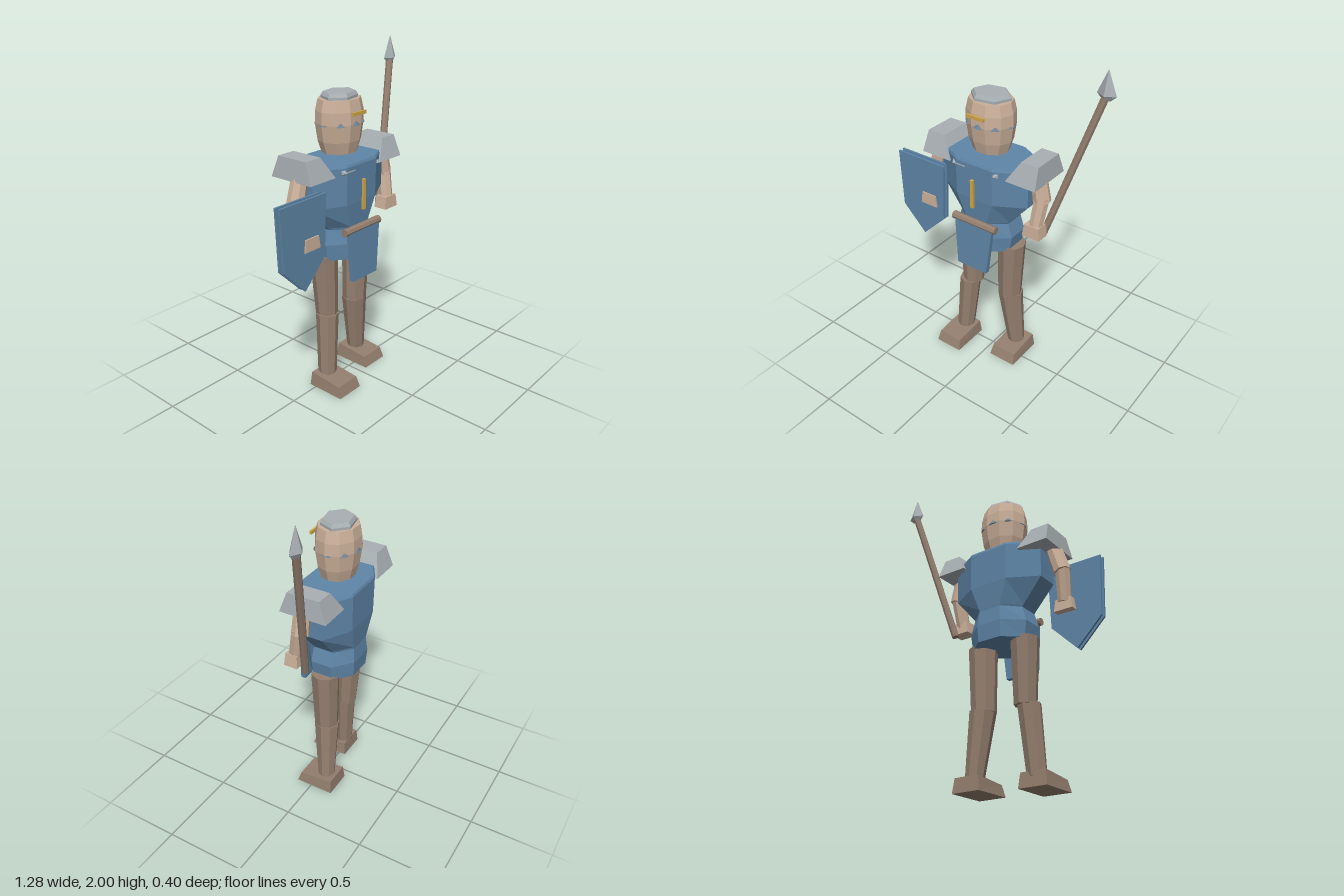
import * as THREE from 'three';

const paint = (name, color) => Object.assign(new THREE.MeshStandardMaterial({ color }), { name });

export function createModel() {
  const blue = paint('blue cloth', 0x5f86a8);
  const steel = paint('steel', 0xa8afb3);
  const slate = paint('slate stud', 0x73879a);
  const skin = paint('tan', 0xcbb09a);
  const brown = paint('brown leather', 0x947f6f);
  const gold = paint('gold', 0xd2a94a);

  const model = new THREE.Group();
  model.name = 'guard';

  // Faceted mesh: every face gets its own flat normal
  function add(name, geometry, material, x = 0, y = 0, z = 0) {
    const flat = geometry.index ? geometry.toNonIndexed() : geometry;
    flat.computeVertexNormals();
    const mesh = new THREE.Mesh(flat, material);
    mesh.name = name;
    mesh.position.set(x, y, z);
    model.add(mesh);
    return mesh;
  }

  const box = (name, material, w, h, d, x, y, z) =>
    add(name, new THREE.BoxGeometry(w, h, d), material, x, y, z);

  // Closed stack of polygon rings, each [y, half width, half depth], flat side forward
  function stack(rings, sides) {
    const k = 1 / Math.cos(Math.PI / sides);
    const all = [[rings[0][0], 0, 0], ...rings, [rings[rings.length - 1][0], 0, 0]];
    const geometry = new THREE.LatheGeometry(
      all.map(([y, w]) => new THREE.Vector2(w * k, y)), sides, Math.PI / sides);
    const p = geometry.attributes.position;
    for (let i = 0; i < p.count; i++) {
      const [, w, d] = all[i % all.length];
      if (w) p.setZ(i, p.getZ(i) * d / w);
    }
    return geometry;
  }

  // Tapered limb between two points
  function limb(name, material, a, b, ra, rb, sides = 8) {
    const from = new THREE.Vector3(...a), to = new THREE.Vector3(...b);
    const dir = to.clone().sub(from);
    const mesh = add(name, new THREE.CylinderGeometry(rb, ra, dir.length(), sides), material);
    mesh.position.copy(from).add(to).multiplyScalar(0.5);
    mesh.quaternion.setFromUnitVectors(new THREE.Vector3(0, 1, 0), dir.normalize());
    return mesh;
  }

  // Box whose top face is given its own x and z range; ranges are [min, max]
  function wedge(name, material, [y0, y1], bx, bz, tx, tz) {
    const geometry = new THREE.BoxGeometry(2, 2, 2);
    const p = geometry.attributes.position;
    for (let i = 0; i < p.count; i++) {
      const top = p.getY(i) > 0;
      p.setXYZ(i, (top ? tx : bx)[p.getX(i) > 0 ? 1 : 0], top ? y1 : y0,
        (top ? tz : bz)[p.getZ(i) > 0 ? 1 : 0]);
    }
    return add(name, geometry, material);
  }

  const cx = -0.04, cz = -0.035;

  // Torso
  add('hips', stack([[0.82, 0.18, 0.15], [0.92, 0.195, 0.157], [1.02, 0.165, 0.148]], 8), blue, cx, 0, cz);
  add('chest', stack([[0.98, 0.15, 0.145], [1.02, 0.175, 0.15], [1.165, 0.3, 0.163],
    [1.385, 0.305, 0.166], [1.4, 0.298, 0.16]], 8), blue, cx, 0, cz);
  box('chestBar', gold, 0.02, 0.18, 0.015, cx, 1.208, 0.146);
  for (const s of [-1, 1]) {
    const rivet = add('chestRivet', new THREE.ConeGeometry(0.02, 0.03, 6), steel, cx + s * 0.14, 1.36, 0.13);
    rivet.rotation.x = Math.PI / 2;
  }
  box('chestPin', steel, 0.08, 0.006, 0.008, -0.14, 1.36, 0.131);

  // Belt roll and hanging tabard
  limb('beltRoll', brown, [-0.19, 1.008, 0.13], [0.115, 1.008, 0.13], 0.024, 0.024);
  wedge('tabard', blue, [0.7, 1.0], [-0.145, 0.065], [0.132, 0.162], [-0.168, 0.098], [0.126, 0.15]);

  // Head, cap, brow bar and ring of studs
  add('head', stack([[1.43, 0.105, 0.092], [1.5, 0.128, 0.11], [1.6, 0.142, 0.123],
    [1.67, 0.14, 0.121], [1.735, 0.125, 0.108]], 10), skin, cx, 0, cz);
  const cap = add('cap', stack([[1.72, 0.105, 0.085], [1.75, 0.105, 0.085], [1.77, 0.092, 0.074]], 6),
    steel, cx, 0, cz);
  cap.rotation.y = 0.2;
  box('browBar', gold, 0.115, 0.02, 0.012, cx, 1.665, 0.108);
  for (let i = 0; i < 8; i++) {
    const a = i * Math.PI / 4;
    const stud = add('headStud', new THREE.ConeGeometry(0.034, 0.035, 6), slate,
      cx + Math.sin(a) * 0.137, 1.61, cz + Math.cos(a) * 0.119);
    stud.rotation.y = a;
    stud.scale.z = 0.4;
  }

  // Shoulder plates
  wedge('rightPauldron', steel, [1.34, 1.464], [-0.433, -0.232], [-0.185, 0.105], [-0.42, -0.305], [-0.14, 0.06]);
  wedge('leftPauldron', steel, [1.34, 1.464], [0.155, 0.352], [-0.185, 0.105], [0.23, 0.34], [-0.14, 0.06]);

  // Arms and hands
  limb('leftUpperArm', skin, [0.295, 1.4, -0.01], [0.328, 1.22, -0.01], 0.045, 0.052);
  limb('leftForearm', skin, [0.33, 1.25, -0.008], [0.316, 1.06, 0.03], 0.046, 0.041);
  wedge('leftHand', skin, [1.01, 1.085], [0.255, 0.37], [-0.01, 0.075], [0.265, 0.36], [-0.005, 0.07]);
  limb('rightUpperArm', skin, [-0.37, 1.4, -0.02], [-0.43, 1.2, -0.015], 0.047, 0.052);
  limb('rightForearm', skin, [-0.43, 1.23, -0.012], [-0.415, 1.03, 0.025], 0.046, 0.041);
  wedge('rightHand', skin, [0.972, 1.046], [-0.475, -0.355], [0.0, 0.1], [-0.465, -0.365], [0.005, 0.098]);

  // Legs and feet
  limb('leftThigh', brown, [0.1, 0.45, -0.04], [0.11, 0.84, -0.038], 0.073, 0.086);
  limb('leftShin', brown, [0.142, 0.06, -0.063], [0.103, 0.455, -0.045], 0.053, 0.077);
  limb('rightThigh', brown, [-0.173, 0.45, -0.025], [-0.182, 0.84, -0.038], 0.066, 0.084);
  limb('rightShin', brown, [-0.215, 0.06, 0.012], [-0.187, 0.455, -0.01], 0.056, 0.068);
  for (const [name, x, z] of [['leftFoot', 0.14, -0.022], ['rightFoot', -0.22, 0.078]]) {
    const foot = wedge(name, brown, [0, 0.085], [-0.09, 0.09], [-0.122, 0.122], [-0.08, 0.08], [-0.115, 0.1]);
    const p = foot.geometry.attributes.position;
    for (let i = 0; i < p.count; i++) if (p.getY(i) > 0 && p.getZ(i) > 0) p.setY(i, 0.065);
    foot.geometry.computeVertexNormals();
    foot.position.set(x, 0, z);
  }

  // Shield: two plates around a narrower core
  function shieldPlate(name, inset, depth, z) {
    const shape = new THREE.Shape([
      [-0.175 + inset, 0.27 - inset], [-0.16 + inset, -0.1], [0, -0.26 + inset],
      [0.16 - inset, -0.1], [0.175 - inset, 0.27 - inset],
    ].map(([x, y]) => new THREE.Vector2(x, y)));
    add(name, new THREE.ExtrudeGeometry(shape, { depth, bevelEnabled: false }), blue, -0.47, 1, z);
  }
  shieldPlate('shieldBack', 0, 0.012, 0.045);
  shieldPlate('shieldCore', 0.02, 0.021, 0.057);
  shieldPlate('shieldFront', 0, 0.012, 0.078);

  // Spear
  limb('spearShaft', brown, [0.325, 0.98, -0.037], [0.58, 1.855, -0.165], 0.022, 0.022);
  const tip = add('spearHead', new THREE.LatheGeometry([[0, -0.165], [0.025, -0.165], [0.057, -0.135], [0, 0]]
    .map(([r, y]) => new THREE.Vector2(r, y)), 4), steel, 0.583, 2, -0.167);
  tip.scale.z = 0.6;

  return model;
}
